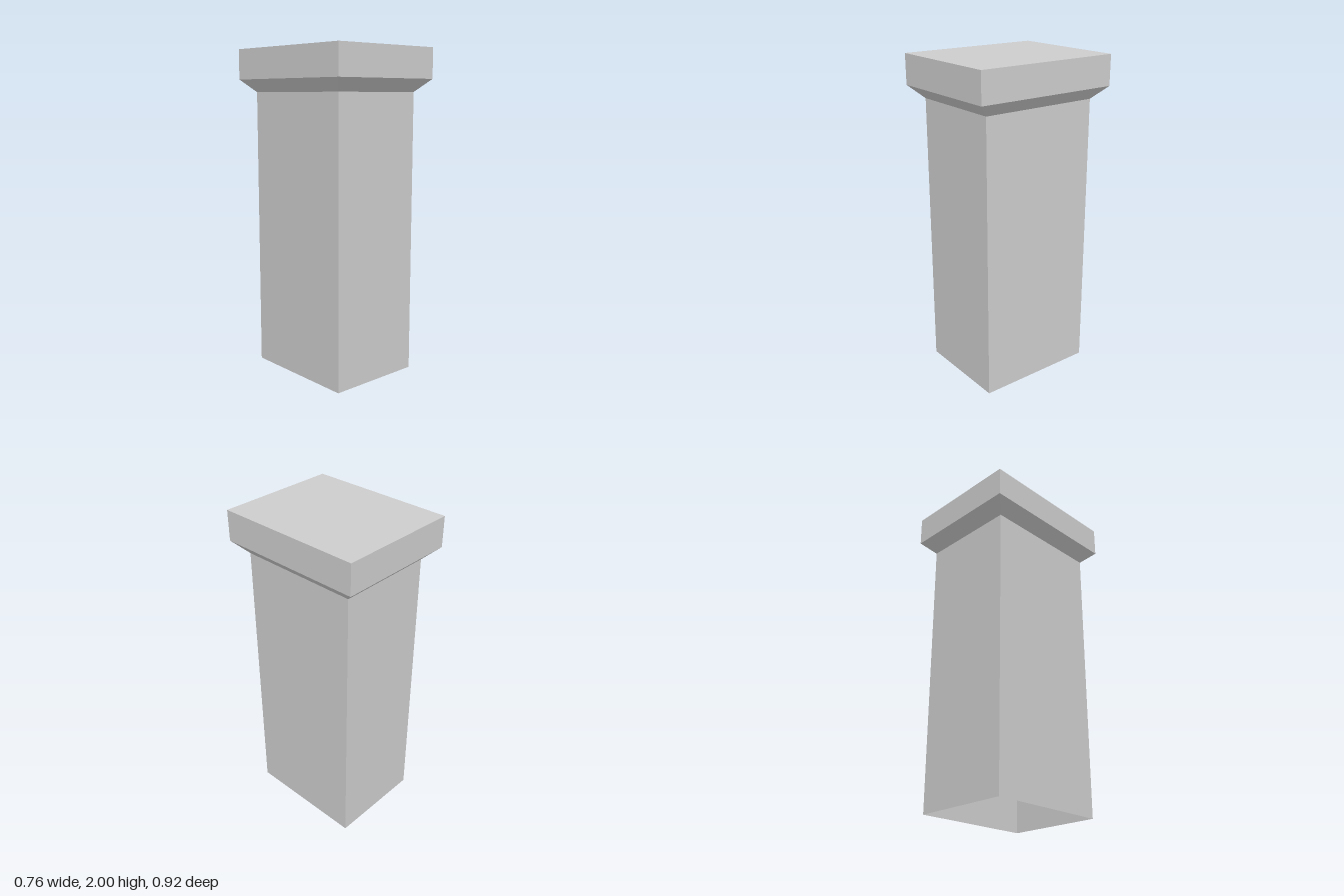
import * as THREE from 'three';

// Open four-sided band between two rectangles, given as half sizes [x, z]
function band([x0, z0], y0, [x1, z1], y1) {
  const geometry = new THREE.CylinderGeometry(1, 1, 1, 4, 1, true).rotateY(Math.PI / 4);
  const position = geometry.attributes.position;
  for (let i = 0; i < position.count; i++) {
    const top = position.getY(i) > 0;
    position.setXYZ(
      i,
      Math.sign(position.getX(i)) * (top ? x1 : x0),
      top ? y1 : y0,
      Math.sign(position.getZ(i)) * (top ? z1 : z0)
    );
  }
  const flat = geometry.toNonIndexed();
  flat.computeVertexNormals();
  return flat;
}

export function createModel() {
  const group = new THREE.Group();
  const stone = new THREE.MeshStandardMaterial({ color: 0xcccccc, side: THREE.DoubleSide });
  stone.name = 'lightGreyStone';

  const shaftSize = [0.304, 0.379];
  const capSize = [0.378, 0.461];
  const shaftTop = 1.738;
  const capBottom = 1.815;
  const height = 2;

  function add(name, geometry) {
    const mesh = new THREE.Mesh(geometry, stone);
    mesh.name = name;
    group.add(mesh);
  }

  // Hollow shell, open at the foot
  add('shaft', band(shaftSize, 0, shaftSize, shaftTop));
  add('flaredCollar', band(shaftSize, shaftTop, capSize, capBottom));
  add('capSides', band(capSize, capBottom, capSize, height));
  add('capTop', new THREE.PlaneGeometry(2 * capSize[0], 2 * capSize[1])
    .rotateX(-Math.PI / 2).translate(0, height, 0));

  return group;
}
